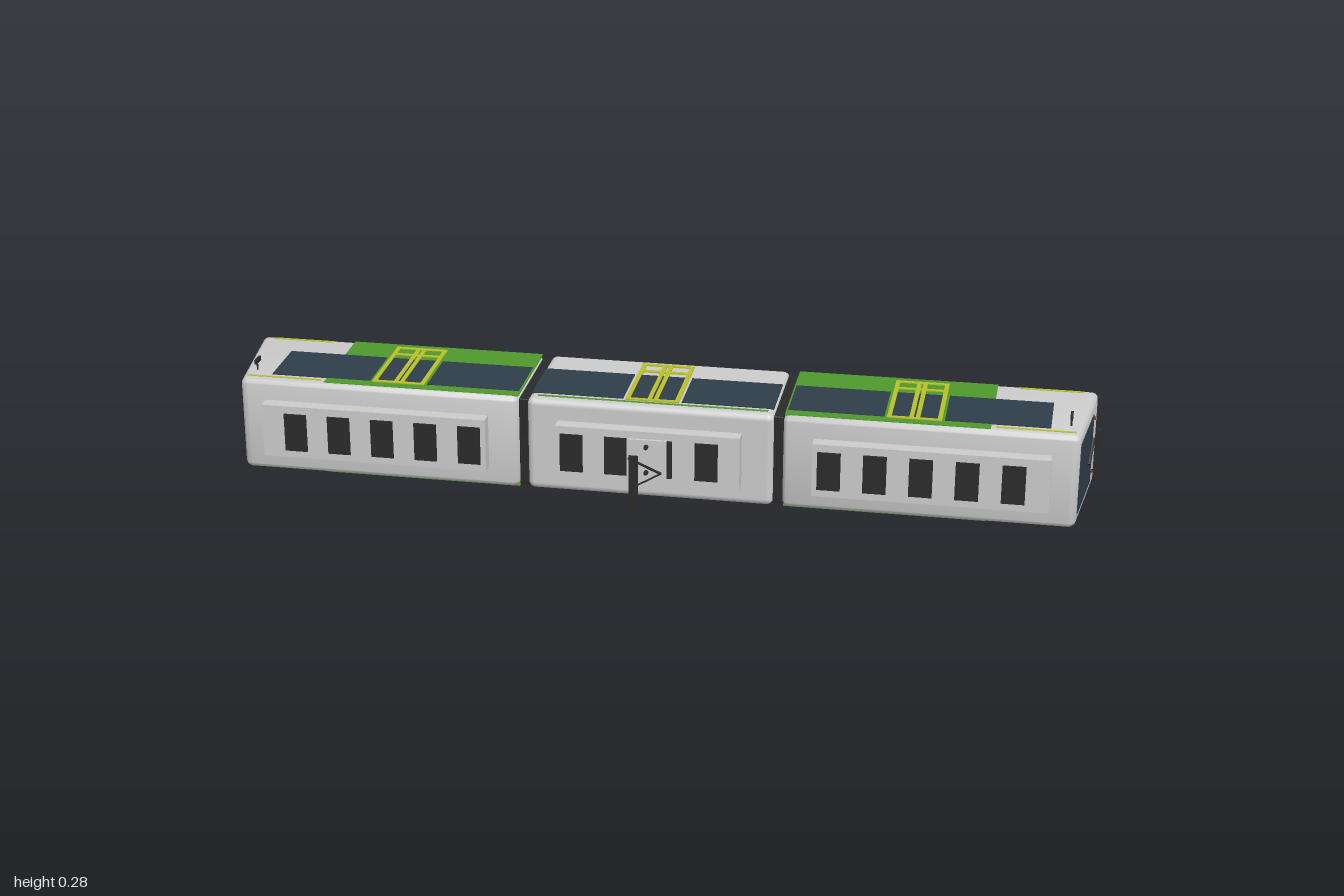
import * as THREE from 'three';
import { RoundedBoxGeometry } from 'three/addons/geometries/RoundedBoxGeometry.js';
import { toCreasedNormals } from 'three/addons/utils/BufferGeometryUtils.js';

// The tram lies on its side: length along x, roof towards +z, side walls at +y and -y.
const FLOOR = -0.235, ROOF = 0.044, HALF = 0.111, MID = 0.14, SLOPE = 0.118;

const mat = (color) => new THREE.MeshStandardMaterial({ color });
const grey = mat(0xcccccc), dark = mat(0x2b2b2b), glass = mat(0x2f3d49);
const green = mat(0x4f982b), yellow = mat(0xb8bf2a), red = mat(0x7a1414);

function add(parent, name, geometry, material, x = 0, y = 0, z = 0) {
  const mesh = new THREE.Mesh(geometry, material);
  mesh.name = name;
  mesh.position.set(x, y, z);
  parent.add(mesh);
  return mesh;
}

// Box given by its limits on each axis
function block(parent, name, material, [x0, x1], [y0, y1], [z0, z1]) {
  return add(parent, name, new THREE.BoxGeometry(x1 - x0, y1 - y0, z1 - z0), material,
    (x0 + x1) / 2, (y0 + y1) / 2, (z0 + z1) / 2);
}

// Round bar between two points
function bar(parent, name, a, b, r, material = dark) {
  const p = new THREE.Vector3(...a), q = new THREE.Vector3(...b);
  const mesh = add(parent, name, new THREE.CylinderGeometry(r, r, p.distanceTo(q), 8), material);
  mesh.position.copy(p).add(q).multiplyScalar(0.5);
  mesh.quaternion.setFromUnitVectors(new THREE.Vector3(0, 1, 0), q.sub(p).normalize());
  return mesh;
}

// Car shell; a sloped nose leans back towards the roof
function shell(parent, x0, x1, nose) {
  const geo = new RoundedBoxGeometry(x1 - x0, HALF * 2, ROOF - FLOOR, 4, 0.016);
  geo.translate((x0 + x1) / 2, 0, (FLOOR + ROOF) / 2);
  if (nose) {
    const p = geo.attributes.position;
    for (let i = 0; i < p.count; i++) {
      if (p.getX(i) > (x0 + x1) / 2) p.setX(i, p.getX(i) - SLOPE * (p.getZ(i) - FLOOR));
    }
  }
  add(parent, 'carBody', nose ? toCreasedNormals(geo, 0.6) : geo, grey);
}

// Flat panel on both side walls, standing out by d
function sidePanel(parent, name, material, xs, zs, d) {
  for (const s of [-1, 1]) {
    const a = s * (HALF - 0.002), b = s * (HALF + d);
    block(parent, name, material, xs, [Math.min(a, b), Math.max(a, b)], zs);
  }
}

// Double door: glass and yellow frames
function door(parent, x) {
  sidePanel(parent, 'doorGlass', glass, [x - 0.055, x + 0.055], [-0.14, 0.006], 0.002);
  for (const dx of [-0.056, -0.007, 0.007, 0.056])
    sidePanel(parent, 'doorFrame', yellow, [x + dx - 0.005, x + dx + 0.005], [-0.21, 0.01], 0.003);
  for (const z of [-0.205, -0.165, 0.006])
    sidePanel(parent, 'doorRail', yellow, [x - 0.06, x + 0.06], [z - 0.005, z + 0.005], 0.003);
}

// Roof equipment box with dark vents
function roofBox(parent, x0, x1, vents) {
  block(parent, 'roofBox', grey, [x0, x1], [-0.063, 0.063], [ROOF - 0.004, 0.075]);
  for (const x of vents)
    block(parent, 'roofVent', dark, [x - 0.026, x + 0.026], [-0.045, 0.045], [0.07, 0.08]);
}

// Fittings on the sloped nose; local x points outwards, local z up the slope
function noseFittings(parent) {
  const nose = new THREE.Group();
  nose.name = 'nose';
  nose.position.set(0.988 - SLOPE * 0.235, 0, 0);
  nose.rotation.y = -Math.atan(SLOPE);
  parent.add(nose);
  block(nose, 'windscreen', glass, [-0.004, 0.002], [-0.082, 0.083], [-0.161, 0.021]);
  bar(nose, 'wiper', [0.005, -0.014, -0.1], [0.005, 0.03, -0.151], 0.004);
  for (const y of [-0.065, 0.065])
    add(nose, 'tailLight', new THREE.CylinderGeometry(0.004, 0.004, 0.006, 12), red, 0, y, -0.183)
      .rotation.z = Math.PI / 2;
  block(parent, 'bumper', dark, [0.96, 0.991], [-0.1, 0.1], [-0.235, -0.215]);
  block(parent, 'coupler', dark, [0.985, 1.0], [-0.021, 0.021], [-0.231, -0.216]);
}

function endCar() {
  const car = new THREE.Group();
  car.name = 'endCar';
  shell(car, 0.302, 0.988, true);
  sidePanel(car, 'greenPanel', green, [0.304, 0.76], [-0.229, 0.032], 0.001);
  sidePanel(car, 'window', glass, [0.308, 0.523], [-0.14, 0.006], 0.002);
  sidePanel(car, 'window', glass, [0.657, 0.89], [-0.14, 0.006], 0.002);
  sidePanel(car, 'lowerStripe', yellow, [0.81, 0.955], [-0.222, -0.214], 0.001);
  sidePanel(car, 'upperStripe', yellow, [0.77, 0.945], [0.016, 0.023], 0.001);
  door(car, 0.59);
  roofBox(car, 0.372, 0.897, [0.41, 0.512, 0.614, 0.716, 0.818]);
  noseFittings(car);
  // Mirrors
  for (const s of [-1, 1]) {
    bar(car, 'mirrorArm', [0.933, s * 0.105, -0.017], [0.933, s * 0.132, -0.017], 0.002);
    add(car, 'mirror', new THREE.BoxGeometry(0.006, 0.01, 0.032), dark, 0.933, s * 0.133, -0.021);
  }
  // Underfloor pads
  for (const x of [0.467, 0.627]) for (const y of [-0.062, 0.062])
    add(car, 'floorPad', new RoundedBoxGeometry(0.034, 0.012, 0.012, 3, 0.005), dark, x, y, -0.236);
  // Gangway bellows
  for (const x of [0.284, 0.291, 0.298])
    add(car, 'bellows', new RoundedBoxGeometry(0.008, 0.212, 0.262, 2, 0.003), dark, x, 0, -0.096);
  return car;
}

function pantograph(parent) {
  const g = new THREE.Group();
  g.name = 'pantograph';
  parent.add(g);
  block(g, 'basePlate', grey, [-0.045, 0.046], [-0.046, 0.046], [0.07, 0.082]);
  for (const y of [-0.031, 0.031])
    add(g, 'insulator', new THREE.CylinderGeometry(0.005, 0.005, 0.016, 10), dark, 0, y, 0.084)
      .rotation.x = Math.PI / 2;
  bar(g, 'lowerArm', [-0.04, 0, 0.084], [0.046, 0, 0.155], 0.003);
  bar(g, 'upperArm', [0.046, 0, 0.155], [0, 0, 0.235], 0.002);
  block(g, 'contactBar', dark, [-0.01, 0.01], [-0.076, 0.076], [0.237, 0.242]);
}

function middleCar() {
  const car = new THREE.Group();
  car.name = 'middleCar';
  shell(car, -0.282, 0.282, false);
  for (const [a, b] of [[-0.276, -0.067], [0.067, 0.276]])
    sidePanel(car, 'window', glass, [a, b], [-0.14, 0.006], 0.002);
  sidePanel(car, 'upperStripe', green, [-0.26, 0.265], [0.016, 0.023], 0.001);
  door(car, 0);
  roofBox(car, -0.21, 0.21, [-0.173, -0.071, 0.031, 0.135]);
  pantograph(car);
  return car;
}

export function createModel() {
  const model = new THREE.Group();
  model.name = 'tram';
  const left = endCar(), right = endCar();
  right.rotation.z = Math.PI;
  for (const car of [left, middleCar(), right]) {
    car.position.y = MID;
    model.add(car);
  }
  return model;
}
